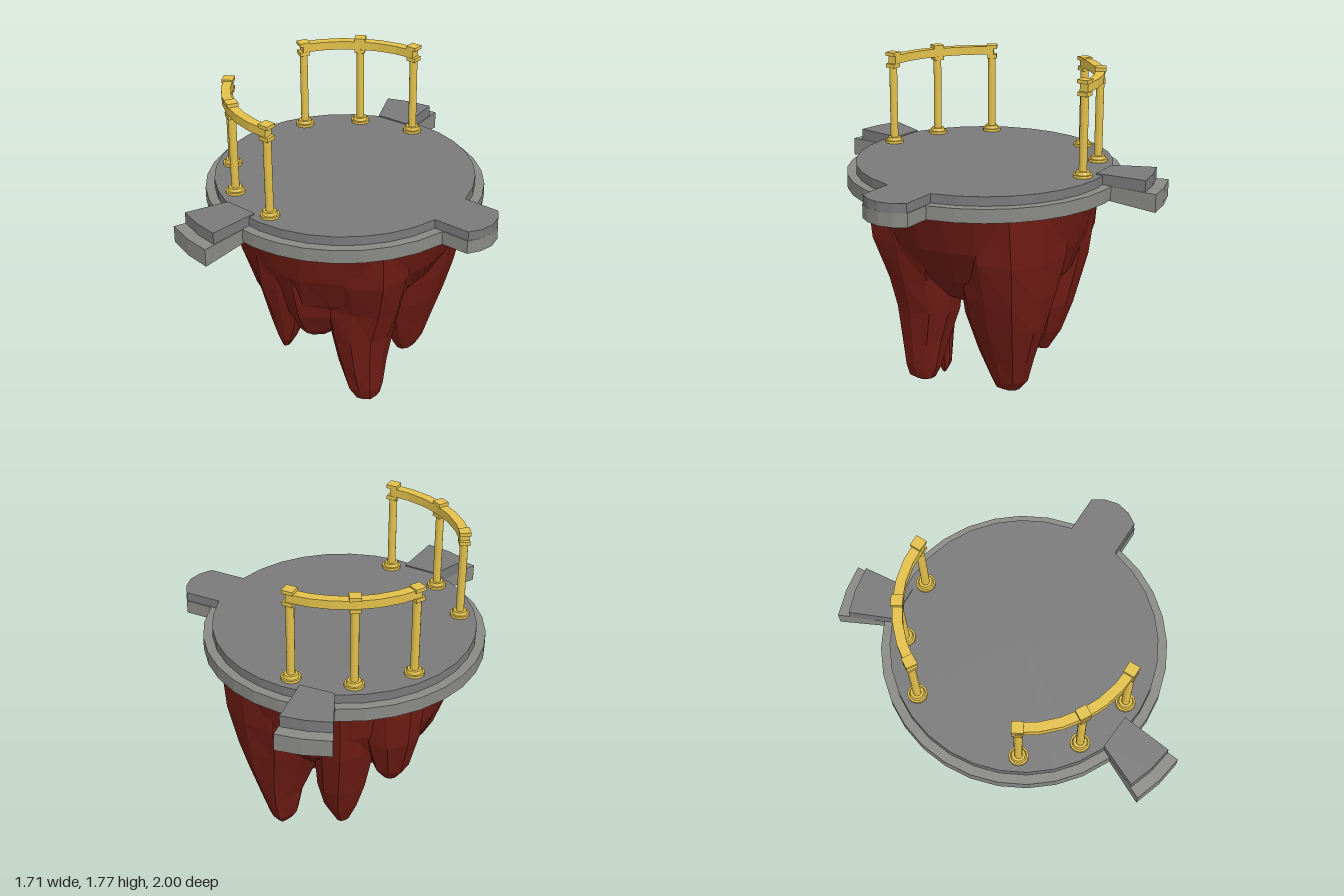
import * as THREE from 'three';

const CX = -0.1; // centre of the round platform
const mat = (color) => new THREE.MeshStandardMaterial({ color, flatShading: true, roughness: 0.9 });

function seeded(seed) {
  let s = seed;
  return () => ((s = (s * 16807) % 2147483647) / 2147483647);
}

// Horizontal slab from an [x, z] outline between two heights
function slab(outline, y0, y1) {
  const shape = new THREE.Shape(outline.map(([x, z]) => new THREE.Vector2(x, -z)));
  const geo = new THREE.ExtrudeGeometry(shape, { depth: y1 - y0, bevelEnabled: false });
  return geo.rotateX(-Math.PI / 2).translate(0, y0, 0);
}

// Faceted rock: sections [y, cx, cz, rx, rz] from top to tip, closed below
function rock(sections, sides, seed, rough) {
  const rnd = seeded(seed);
  const ridge = Array.from({ length: sides }, () => 1 + (rnd() - 0.5) * rough);
  const pos = [], idx = [];
  sections.forEach(([y, cx, cz, rx, rz], j) => {
    for (let i = 0; i < sides; i++) {
      const a = (i / sides) * Math.PI * 2;
      const k = ridge[i] * (1 + (rnd() - 0.5) * rough * 0.6);
      const dy = j === 0 ? 0 : (rnd() - 0.5) * rough * 0.25;
      pos.push(cx + Math.cos(a) * rx * k, Math.max(0, y + dy * Math.min(1, rx * 4)), cz + Math.sin(a) * rz * k);
    }
  });
  const last = sections.length - 1;
  for (let j = 0; j < last; j++) {
    for (let i = 0; i < sides; i++) {
      const n = (i + 1) % sides;
      const a = j * sides + i, b = j * sides + n, c = a + sides, d = b + sides;
      idx.push(a, b, c, b, d, c);
    }
  }
  const [y, cx, cz] = sections[last];
  pos.push(cx, Math.max(0, y - 0.01), cz);
  for (let i = 0; i < sides; i++) idx.push(last * sides + i, last * sides + ((i + 1) % sides), pos.length / 3 - 1);
  const geo = new THREE.BufferGeometry();
  geo.setAttribute('position', new THREE.Float32BufferAttribute(pos, 3));
  geo.setIndex(idx);
  geo.computeVertexNormals();
  return geo;
}

export function createModel() {
  const model = new THREE.Group();
  const stone = mat(0x7a7a7a), rim = mat(0x898985), gold = mat(0xe2c04a), red = mat(0x701c14);
  const add = (parent, name, geo, material) => {
    const m = new THREE.Mesh(geo, material);
    m.name = name;
    parent.add(m);
  };

  // Stepped round platform
  const platform = new THREE.Group();
  platform.name = 'platform';
  model.add(platform);
  add(platform, 'platformRim', new THREE.CylinderGeometry(0.755, 0.755, 0.075, 32).translate(CX, 1.1675, 0), rim);
  add(platform, 'platformTop', new THREE.CylinderGeometry(0.705, 0.705, 0.06, 32).translate(CX, 1.225, 0), stone);

  // Rounded landing on the +x side
  const landing = (w, x0) => [[x0, -w], [0.795, -w], [0.835, -w * 0.55], [0.852, 0], [0.835, w * 0.55], [0.795, w], [x0, w]];
  add(platform, 'roundLandingBase', slab(landing(0.142, 0.55), 1.13, 1.205), rim);
  add(platform, 'roundLandingTop', slab(landing(0.137, 0.58), 1.2, 1.255), stone);

  for (const s of [1, -1]) {
    const side = s > 0 ? 'front' : 'back';

    // Flared landing whose base slopes down outwards
    const base = slab([[-0.36, 0.66 * s], [-0.485, 0.93 * s], [-0.34, 0.978 * s], [-0.2, 1.0 * s], [-0.17, 0.66 * s]], 1.13, 1.205);
    const p = base.attributes.position;
    for (let i = 0; i < p.count; i++) {
      const slope = p.getY(i) < 1.16 ? 0.11 : 0.03;
      p.setY(i, p.getY(i) - slope * Math.max(0, Math.abs(p.getZ(i)) - 0.7));
    }
    base.computeVertexNormals();
    add(platform, side + 'LandingBase', base, rim);
    add(platform, side + 'LandingTop',
      slab([[-0.36, 0.65 * s], [-0.458, 0.87 * s], [-0.33, 0.915 * s], [-0.2, 0.937 * s], [-0.17, 0.66 * s]], 1.195, 1.262), stone);

    // Curved colonnade: three columns under an arc beam
    const colonnade = new THREE.Group();
    colonnade.name = side + 'Colonnade';
    model.add(colonnade);
    const at = (deg, r) => {
      const a = THREE.MathUtils.degToRad(deg);
      return [CX + Math.cos(a) * r, Math.sin(a) * r * s];
    };
    const outer = [], inner = [];
    for (let i = 0; i <= 6; i++) {
      const deg = 89 + i * 10.33;
      outer.push(at(deg, 0.645));
      inner.unshift(at(deg, 0.595));
    }
    add(colonnade, 'beam', slab([...outer, ...inner], 1.71, 1.757), gold);

    [90, 120, 150].forEach((deg, i) => {
      const column = new THREE.Group();
      column.name = 'column';
      const [x, z] = at(deg, 0.62);
      column.position.set(x, 0, z);
      column.rotation.y = -s * THREE.MathUtils.degToRad(deg);
      colonnade.add(column);
      add(column, 'plinth', new THREE.CylinderGeometry(0.052, 0.052, 0.016, 12).translate(0, 1.262, 0), gold);
      add(column, 'columnBase', new THREE.CylinderGeometry(0.036, 0.042, 0.018, 12).translate(0, 1.278, 0), gold);
      add(column, 'shaft', new THREE.CylinderGeometry(0.022, 0.022, 0.43, 12).translate(0, 1.485, 0), gold);
      add(column, 'capital', new THREE.BoxGeometry(0.056, 0.022, 0.056).translate(0, 1.7, 0), gold);
      const top = i === 2 ? 1.765 : 1.776;
      add(column, 'capStone', new THREE.BoxGeometry(0.06, 0.02, 0.06).translate(0, top - 0.01, 0), gold);
    });
  }

  // Hanging rock: a full tapered core with spurs merging into it
  const rocks = new THREE.Group();
  rocks.name = 'hangingRock';
  model.add(rocks);
  const spurs = {
    rockCore: [[1.14, -0.08, 0, 0.665, 0.655], [0.9, -0.095, 0, 0.6, 0.595], [0.7, -0.11, 0, 0.485, 0.52],
      [0.55, -0.12, 0.01, 0.36, 0.38], [0.48, -0.12, 0.02, 0.22, 0.24]],
    frontRightSpur: [[1.13, 0.17, 0.2, 0.35, 0.32], [0.88, 0.18, 0.19, 0.31, 0.29], [0.65, 0.18, 0.19, 0.23, 0.21],
      [0.45, 0.17, 0.195, 0.175, 0.185], [0.25, 0.185, 0.205, 0.13, 0.14], [0.1, 0.205, 0.205, 0.095, 0.11],
      [0.03, 0.22, 0.205, 0.06, 0.08], [0.012, 0.22, 0.2, 0.03, 0.04]],
    backRightSpur: [[1.13, 0.12, -0.28, 0.34, 0.34], [0.85, 0.12, -0.3, 0.3, 0.3], [0.62, 0.12, -0.3, 0.25, 0.265],
      [0.45, 0.13, -0.29, 0.18, 0.235], [0.25, 0.13, -0.3, 0.11, 0.17], [0.1, 0.12, -0.31, 0.075, 0.11],
      [0.045, 0.12, -0.3, 0.045, 0.07]],
    backLeftSpur: [[1.13, -0.29, -0.36, 0.2, 0.22], [0.75, -0.28, -0.36, 0.17, 0.18], [0.45, -0.25, -0.33, 0.13, 0.14],
      [0.28, -0.235, -0.31, 0.09, 0.1], [0.16, -0.24, -0.3, 0.035, 0.04]],
    frontWall: [[1.13, -0.1, 0.28, 0.32, 0.34], [0.8, -0.1, 0.28, 0.3, 0.29], [0.6, -0.1, 0.27, 0.26, 0.24],
      [0.46, -0.09, 0.26, 0.18, 0.17], [0.4, -0.08, 0.26, 0.1, 0.1]],
    frontLeftSpur: [[1.13, -0.18, 0.4, 0.22, 0.22], [0.75, -0.18, 0.4, 0.17, 0.17], [0.5, -0.17, 0.41, 0.1, 0.1],
      [0.38, -0.17, 0.43, 0.05, 0.05], [0.32, -0.18, 0.43, 0.02, 0.025]],
    leftBackSpur: [[1.13, -0.5, -0.28, 0.2, 0.2], [0.85, -0.51, -0.28, 0.16, 0.17], [0.62, -0.51, -0.26, 0.1, 0.12],
      [0.54, -0.51, -0.26, 0.04, 0.06]],
    leftWall: [[1.13, -0.42, 0, 0.3, 0.36], [0.8, -0.4, -0.02, 0.25, 0.31], [0.6, -0.37, -0.02, 0.17, 0.23],
      [0.52, -0.35, -0.02, 0.1, 0.15]],
    leftFrontSpur: [[1.13, -0.46, 0.2, 0.24, 0.24], [0.8, -0.44, 0.22, 0.2, 0.2], [0.58, -0.41, 0.22, 0.15, 0.14],
      [0.47, -0.4, 0.22, 0.09, 0.09], [0.435, -0.39, 0.22, 0.05, 0.05]],
    smallSpur: [[0.6, 0.12, 0.13, 0.1, 0.09], [0.25, 0.11, 0.13, 0.06, 0.05], [0.08, 0.1, 0.13, 0.04, 0.035],
      [0.03, 0.11, 0.13, 0.012, 0.012]],
  };
  Object.entries(spurs).forEach(([name, sections], i) => {
    const core = name === 'rockCore';
    add(rocks, name, rock(sections, core ? 24 : 10, 1301 + i * 977, core ? 0.04 : 0.12), red);
  });

  return model;
}
